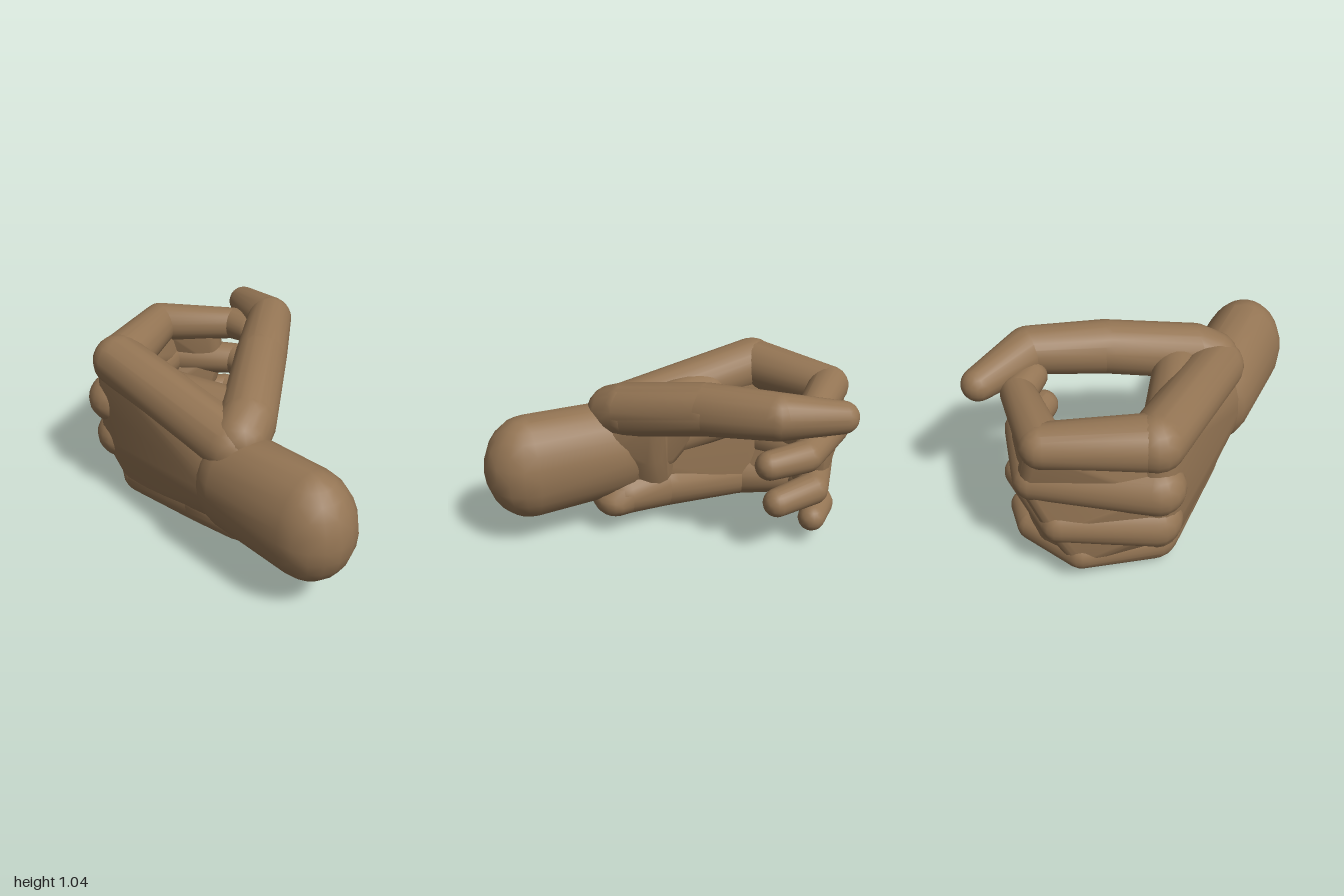
import * as THREE from 'three';
import { ConvexGeometry } from 'three/addons/geometries/ConvexGeometry.js';
import { toCreasedNormals, mergeGeometries } from 'three/addons/utils/BufferGeometryUtils.js';

const skin = new THREE.MeshStandardMaterial({ color: 0x947554 });
skin.name = 'skin';

// Smooth hull around balls given as [x, y, z, rx, ry, rz] (ry and rz default to rx)
function hull(balls) {
  const points = [];
  for (const [x, y, z, rx, ry = rx, rz = rx] of balls) {
    const pos = new THREE.SphereGeometry(1, 18, 12).attributes.position;
    for (let i = 0; i < pos.count; i++) {
      points.push(new THREE.Vector3(x + pos.getX(i) * rx, y + pos.getY(i) * ry, z + pos.getZ(i) * rz));
    }
  }
  return toCreasedNormals(new ConvexGeometry(points), 0.8);
}

// Chain of tapered round segments through the balls
function chain(balls) {
  return mergeGeometries(balls.slice(1).map((b, i) => hull([balls[i], b])));
}

export function createModel() {
  const hand = new THREE.Group();
  hand.name = 'hand';
  const add = (name, geometry) => {
    const mesh = new THREE.Mesh(geometry, skin);
    mesh.name = name;
    hand.add(mesh);
  };

  // Knuckle, middle joint, end joint and tip of each finger
  const fingers = {
    index: [[-0.42, 0.83, -0.65, 0.142], [0.05, 0.83, -0.885, 0.112], [0.35, 0.83, -0.58, 0.09], [0.35, 0.84, -0.44, 0.08]],
    middle: [[-0.45, 0.6, -0.69, 0.14], [0.11, 0.6, -0.88, 0.105], [0.35, 0.6, -0.57, 0.09], [0.35, 0.595, -0.35, 0.08]],
    ring: [[-0.43, 0.37, -0.67, 0.14], [-0.02, 0.37, -0.88, 0.105], [0.33, 0.37, -0.64, 0.09], [0.35, 0.35, -0.41, 0.08]],
    little: [[-0.37, 0.135, -0.55, 0.135], [-0.11, 0.18, -0.84, 0.1], [0.2, 0.17, -0.78, 0.083], [0.31, 0.165, -0.665, 0.077]],
  };
  for (const [name, balls] of Object.entries(fingers)) add(name + 'Finger', chain(balls));

  // Skin joining neighbouring fingers, ending before the end joint
  const list = Object.values(fingers);
  for (let i = 0; i < 3; i++) {
    const pair = [list[i], list[i + 1]];
    const parts = [0, 1].map((j) => hull(pair.flatMap((f) => {
      const a = f[j], b = f[j + 1];
      const end = j === 0 ? b : a.map((v, k) => v + (b[k] - v) * 0.65);
      return [a, end].map(([x, y, z]) => [x, y, z, j === 0 ? 0.085 : 0.07]);
    })));
    add('fingerWeb', mergeGeometries(parts));
  }

  // Wrist with a rounded end
  add('wrist', hull([[-0.38, 0.48, 0.75, 0.225, 0.3, 0.25], [-0.385, 0.48, 0.26, 0.22, 0.285, 0.22]]));

  // Palm slab between wrist and knuckles
  add('palm', hull([
    [-0.38, 0.48, 0.2, 0.19, 0.27, 0.2],
    [-0.42, 0.82, -0.64, 0.12], [-0.43, 0.6, -0.66, 0.12],
    [-0.42, 0.37, -0.64, 0.125], [-0.37, 0.15, -0.53, 0.13],
  ]));

  // Ridges from the wrist to the upper knuckles
  add('indexRidge', hull([[-0.42, 0.83, -0.65, 0.146], [-0.4, 0.69, 0.23, 0.15]]));
  add('middleRidge', hull([[-0.34, 0.59, -0.54, 0.145], [-0.36, 0.52, 0.15, 0.17]]));

  // Pad on the little finger side
  add('palmPad', chain([
    [-0.37, 0.135, -0.55, 0.135], [-0.345, 0.23, -0.02, 0.17, 0.165, 0.16],
    [-0.325, 0.23, 0.22, 0.165, 0.14, 0.15], [-0.31, 0.205, 0.29, 0.15, 0.105, 0.12],
  ]));

  // Thumb, with the ball of the thumb and the web below it
  add('thumb', chain([
    [-0.36, 0.72, 0.25, 0.15], [-0.27, 0.765, 0.21, 0.15], [0.11, 0.872, -0.09, 0.142],
    [0.42, 0.917, -0.34, 0.125], [0.52, 0.89, -0.665, 0.086],
  ]));
  add('thumbBall', hull([
    [-0.34, 0.6, 0.23, 0.16], [-0.22, 0.74, 0.1, 0.13],
    [-0.27, 0.5, 0.1, 0.135], [-0.33, 0.34, 0.05, 0.15],
  ]));
  add('thumbWeb', hull([
    [-0.23, 0.74, 0.08, 0.125], [-0.35, 0.74, -0.3, 0.13], [-0.3, 0.48, 0.02, 0.14],
  ]));

  return hand;
}
